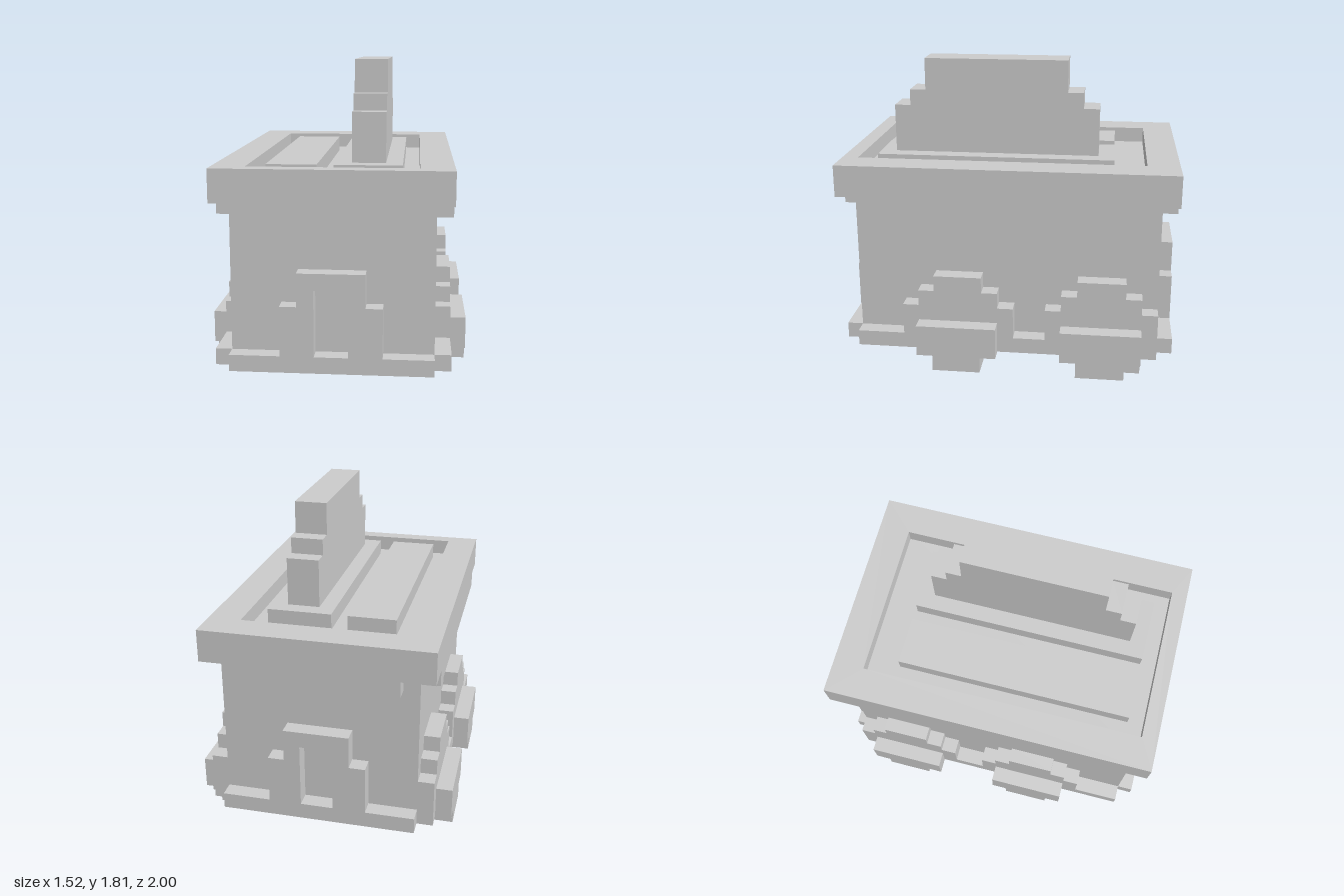
import * as THREE from 'three';

const U = 2 / 21; // one block
const material = new THREE.MeshStandardMaterial({ color: 0xcccccc, flatShading: true });

export function createModel() {
  const model = new THREE.Group();

  // Box from block-unit ranges
  const box = (name, [x0, x1], [y0, y1], [z0, z1], parent = model) => {
    const mesh = new THREE.Mesh(new THREE.BoxGeometry((x1 - x0) * U, (y1 - y0) * U, (z1 - z0) * U), material);
    mesh.position.set((x0 + x1) * U / 2, (y0 + y1) * U / 2, (z0 + z1) * U / 2);
    mesh.name = name;
    parent.add(mesh);
    return mesh;
  };

  const rectangle = (x0, y0, x1, y1, Type = THREE.Shape) =>
    new Type([[x0, y0], [x1, y0], [x1, y1], [x0, y1]].map(([x, y]) => new THREE.Vector2(x * U, y * U)));

  // Stepped outline: steps are [start, height], closed at end on the base line
  const steppedShape = (steps, end, base) => {
    const points = [[steps[0][0], base]];
    steps.forEach(([start, height], i) => {
      points.push([start, height], [i + 1 < steps.length ? steps[i + 1][0] : end, height]);
    });
    points.push([end, base]);
    return new THREE.Shape(points.reverse().map(([a, b]) => new THREE.Vector2(a * U, b * U)));
  };

  const extrude = (name, shape, depth) => {
    const mesh = new THREE.Mesh(new THREE.ExtrudeGeometry(shape, { depth: depth * U, bevelEnabled: false }), material);
    mesh.name = name;
    model.add(mesh);
    return mesh;
  };

  // Main block, whose top is the floor of the roof tray
  box('body', [-6, 6], [1, 12], [-9.5, 9.5]);

  // Roof rim with a rectangular opening set slightly forward
  const rimShape = rectangle(-7, -10.5, 7, 10.5);
  rimShape.holes.push(rectangle(-5, -9.5, 5, 8.5, THREE.Path));
  const rim = extrude('roofRim', rimShape, 2);
  rim.rotation.x = -Math.PI / 2;
  rim.position.y = 11 * U;

  // Roof slabs and the tall stepped fin
  box('wideRoofSlab', [0, 4], [12, 13], [-6.5, 8.5]);
  box('narrowRoofSlab', [-4, -1], [12, 13], [-6.5, 8.5]);
  const fin = extrude('roofFin', steppedShape(
    [[-7.5, 16], [-6.5, 17], [-5.5, 19], [3.5, 17], [4.5, 16]], 5.5, 13), 2);
  fin.rotation.y = Math.PI / 2;
  fin.position.x = U;

  // Front and back: eave trim and doorway arch
  for (const side of [1, -1]) {
    const end = side > 0 ? 'front' : 'back';
    const z = side > 0 ? [9.5, 10.5] : [-10.5, -9.5];
    box(end + 'EaveTrim', [-5, 5], [10, 11], z);
    const archShape = steppedShape([[-6, 2], [-3, 5], [-2, 7], [2, 5], [3, 2]], 6, 1);
    archShape.holes.push(rectangle(-1, 2, 1, 6, THREE.Path));
    extrude(end + 'DoorArch', archShape, 1).position.z = z[0] * U;
  }

  // Sides: eave trim, stepped wheel arches, wheels and their lower blocks
  for (const side of [1, -1]) {
    const name = side > 0 ? 'left' : 'right';
    const span = (a, b) => side > 0 ? [a, b] : [-b, -a];
    box(name + 'EaveTrim', span(6, 7), [10, 11], [-8.5, 8.5]);

    // Profile runs along -z
    const steps = [[-9.5, 2]];
    for (const c of [-3, 6]) {
      steps.push([c - 3.5, 4], [c - 2.5, 5], [c - 1.5, 6], [c + 1.5, 5], [c + 2.5, 4]);
      if (c < 0) steps.push([c + 3.5, 2]);
    }
    const arches = extrude(name + 'WheelArches', steppedShape(steps, 9.5, 1), 1);
    arches.rotation.y = Math.PI / 2;
    arches.position.x = span(6, 7)[0] * U;

    for (const c of [3, -6]) {
      const wheel = new THREE.Group();
      wheel.name = name + (c > 0 ? 'FrontWheel' : 'BackWheel');
      box('wheelUpper', span(7, 8), [1, 3], [c - 2.5, c + 2.5], wheel);
      box('wheelLower', span(6, 8), [0, 1], [c - 1.5, c + 1.5], wheel);
      model.add(wheel);
    }
  }

  // Single extra block behind the left back wheel
  box('wheelBlock', [6, 7], [0, 1], [-8.5, -7.5]);

  return model;
}
